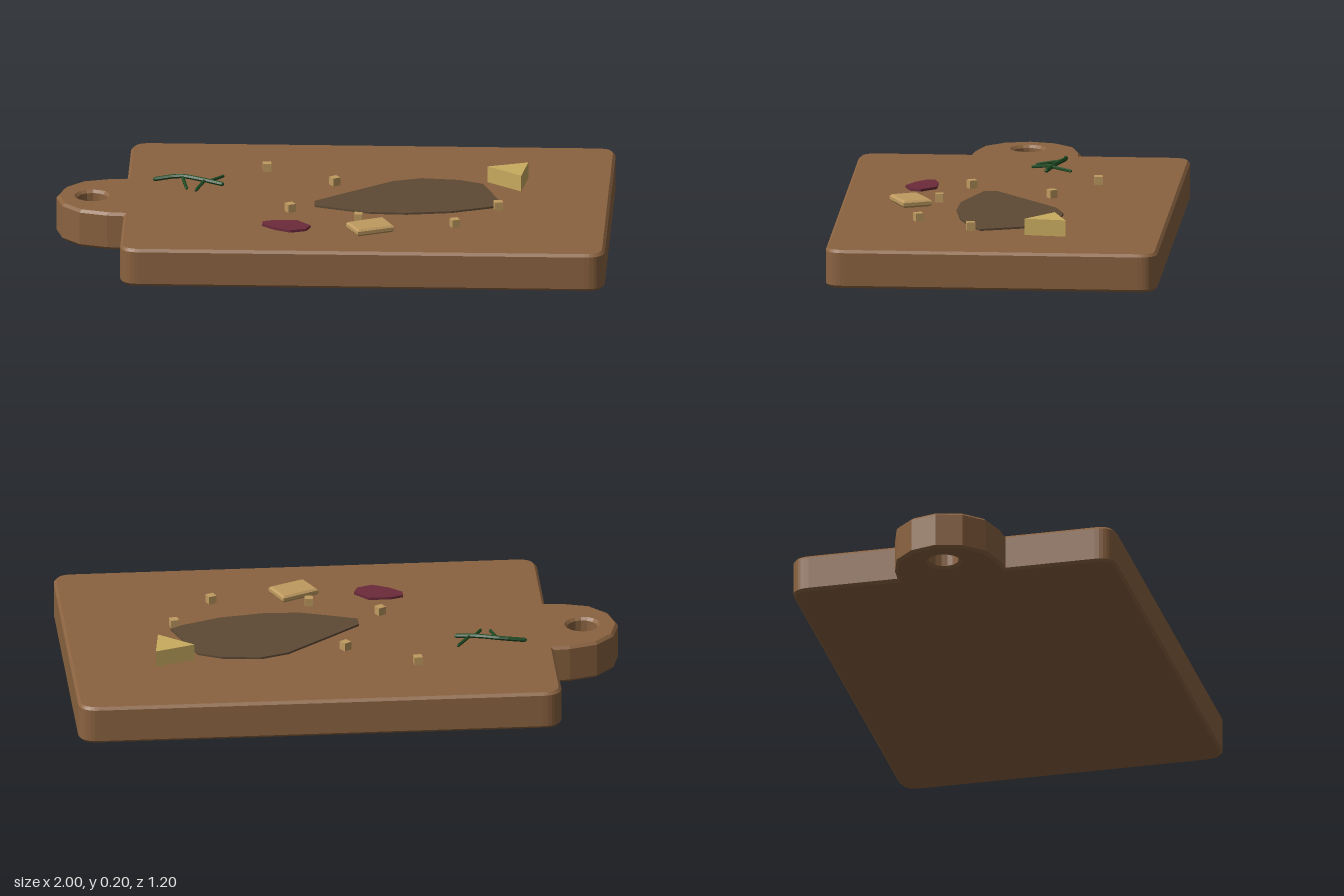
import * as THREE from 'three';

const TOP = 0.14; // height of the board's upper face

const mat = (color) => new THREE.MeshStandardMaterial({ color, flatShading: true });

// Outline in (x, z), extruded downwards from y = top, edges bevelled inside the outline
function slab(name, shape, top, height, bevel, material, curveSegments = 4) {
  const geo = new THREE.ExtrudeGeometry(shape, {
    depth: height - 2 * bevel, bevelEnabled: bevel > 0, bevelThickness: bevel,
    bevelSize: bevel, bevelOffset: -bevel, bevelSegments: 1, curveSegments,
  });
  geo.rotateX(Math.PI / 2).translate(0, top - bevel, 0);
  const mesh = new THREE.Mesh(geo, material);
  mesh.name = name;
  return mesh;
}

const polygon = (points) => new THREE.Shape(points.map(([x, z]) => new THREE.Vector2(x, z)));

// Rounded rectangle with a rounded handle on the -x side and a hanging hole
function boardShape() {
  const s = new THREE.Shape();
  const r = 0.07, x0 = -0.75, x1 = 1, w = 0.6;
  s.moveTo(x0 + r, -w);
  s.lineTo(x1 - r, -w);
  s.quadraticCurveTo(x1, -w, x1, -w + r);
  s.lineTo(x1, w - r);
  s.quadraticCurveTo(x1, w, x1 - r, w);
  s.lineTo(x0 + r, w);
  s.quadraticCurveTo(x0, w, x0, w - r);
  const handle = [[-0.75, 0.2], [-0.81, 0.195], [-0.91, 0.165], [-0.975, 0.095]];
  handle.forEach(([x, z]) => s.lineTo(x, z));
  s.lineTo(-1, 0);
  handle.reverse().forEach(([x, z]) => s.lineTo(x, -z));
  s.lineTo(x0, -w + r);
  s.quadraticCurveTo(x0, -w, x0 + r, -w);
  const hole = new THREE.Path();
  hole.absarc(-0.87, 0, 0.055, 0, Math.PI * 2, true);
  s.holes.push(hole);
  return s;
}

// Thin stem through (x, y, z) points, with closed ends
function stem(name, points, radius, material) {
  const v = points.map((p) => new THREE.Vector3(...p));
  const group = new THREE.Group();
  group.name = name;
  const curve = new THREE.CatmullRomCurve3(v);
  group.add(new THREE.Mesh(new THREE.TubeGeometry(curve, 8, radius, 6), material));
  [v[0], v[v.length - 1]].forEach((p) => {
    const cap = new THREE.Mesh(new THREE.IcosahedronGeometry(radius, 0), material);
    cap.position.copy(p);
    group.add(cap);
  });
  return group;
}

export function createModel() {
  const model = new THREE.Group();
  model.name = 'servingBoard';
  const wood = mat(0x8b6340), cheese = mat(0xc9ab5f), bread = mat(0xbf9a60);
  const grease = mat(0x5d4a35), wine = mat(0x6b2a3a), green = mat(0x1f4a22);

  model.add(slab('board', boardShape(), TOP, TOP, 0.01, wood, 8));

  // Flat stains
  model.add(slab('greaseStain', polygon([
    [-0.065, 0.05], [0.03, -0.03], [0.21, -0.18], [0.31, -0.215], [0.45, -0.2],
    [0.535, -0.16], [0.615, 0.065], [0.57, 0.095], [0.43, 0.15], [0.27, 0.175],
    [0.14, 0.17], [0.02, 0.13], [-0.065, 0.1],
  ]), 0.147, 0.009, 0, grease));
  model.add(slab('wineStain', polygon([
    [-0.245, 0.29], [-0.2, 0.275], [-0.12, 0.275], [-0.07, 0.33], [-0.085, 0.37],
    [-0.14, 0.39], [-0.2, 0.36], [-0.245, 0.32],
  ]), 0.149, 0.011, 0, wine));

  // Cheese wedge and cracker
  model.add(slab('cheeseWedge', polygon([[0.55, -0.2], [0.695, -0.25], [0.675, -0.1]]),
    0.2, 0.06, 0, cheese));
  model.add(slab('cracker', polygon([[0.058, 0.335], [0.19, 0.27], [0.235, 0.37], [0.105, 0.43]]),
    0.166, 0.026, 0.007, bread));

  // Crumbs
  const crumbs = new THREE.Group();
  crumbs.name = 'crumbs';
  const crumbGeo = new THREE.BoxGeometry(0.03, 0.03, 0.03);
  [[-0.25, -0.3, 0.1], [0, -0.15, 0.6], [-0.15, 0.15, 0.5], [0.1, 0.25, 0],
    [0.6, 0.1, 0.2], [0.45, 0.3, 0.4]].forEach(([x, z, turn]) => {
    const crumb = new THREE.Mesh(crumbGeo, bread);
    crumb.name = 'crumb';
    crumb.position.set(x, TOP + 0.015, z);
    crumb.rotation.y = turn;
    crumbs.add(crumb);
  });
  model.add(crumbs);

  // Herb sprig: a bowed stem with three side twigs
  const herb = new THREE.Group();
  herb.name = 'herbSprig';
  herb.add(stem('mainStem', [[-0.65, 0.153, -0.152], [-0.56, 0.165, -0.155],
    [-0.48, 0.163, -0.125], [-0.405, 0.155, -0.1]], 0.008, green));
  [[[-0.55, 0.163, -0.15], [-0.532, 0.152, -0.057]],
    [[-0.47, 0.161, -0.118], [-0.497, 0.15, -0.045]],
    [[-0.452, 0.16, -0.117], [-0.405, 0.155, -0.187]]].forEach((p) => {
    herb.add(stem('twig', p, 0.006, green));
  });
  model.add(herb);

  return model;
}
